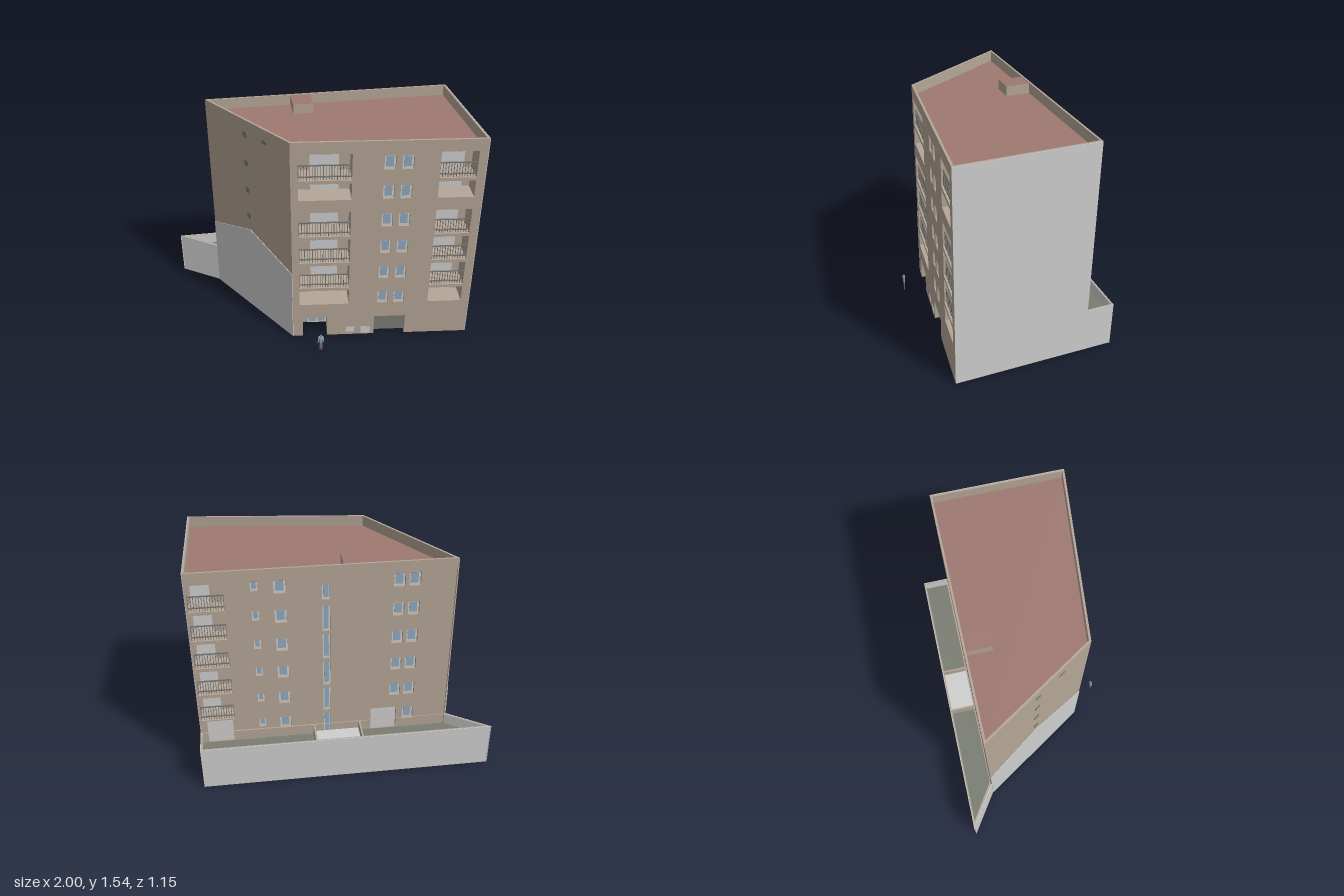
import * as THREE from 'three';
import { mergeGeometries } from 'three/addons/utils/BufferGeometryUtils.js';

const paint = (name, color) => {
  const m = new THREE.MeshStandardMaterial({ color });
  m.name = name;
  return m;
};

export function createModel() {
  const model = new THREE.Group();
  model.name = 'apartmentBuilding';
  const render = paint('tan render', 0xb5a697);
  const party = paint('light grey', 0xcfcfcf);
  const red = paint('roof red', 0x9e7870);
  const olive = paint('olive grey', 0x7a7d73);
  const glass = paint('glass blue', 0x8faac0);
  const metal = paint('railing grey', 0x777672);

  const TOP = 1.535, ROOF = 1.46, STEP = 0.211, ANNEX = 0.32;
  const levels = [0, 1, 2, 3, 4, 5];
  // plan corners as [x, z]
  const BL = [-0.72, -0.38], FL = [-0.235, 0.39], FR = [1, 0.53], BR = [1, -0.38];

  const add = (parent, name, geo, mat) => {
    const mesh = new THREE.Mesh(geo, mat);
    mesh.name = name;
    parent.add(mesh);
    return mesh;
  };
  const shapeOf = (pts) => new THREE.Shape(pts.map(([x, y]) => new THREE.Vector2(x, y)));
  const rect = ([u0, y0, u1, y1]) => [[u0, y0], [u1, y0], [u1, y1], [u0, y1]];
  const extrude = (shape, depth) => new THREE.ExtrudeGeometry(shape, { depth, bevelEnabled: false });
  const boxAt = (x0, x1, y0, y1, z0, z1) =>
    new THREE.BoxGeometry(x1 - x0, y1 - y0, z1 - z0).translate((x0 + x1) / 2, (y0 + y1) / 2, (z0 + z1) / 2);

  // horizontal slab from plan points
  const slab = (name, pts, y, h, mat, hole) => {
    const s = shapeOf(pts.map(([x, z]) => [x, -z]));
    if (hole) s.holes.push(new THREE.Path(hole.map(([x, z]) => new THREE.Vector2(x, -z))));
    return add(model, name, extrude(s, h).rotateX(-Math.PI / 2).translate(0, y, 0), mat);
  };

  // group with local x running from p to q, and local z facing outwards
  const frame = (name, p, q) => {
    const g = new THREE.Group();
    g.name = name;
    g.position.set(p[0], 0, p[1]);
    g.rotation.y = Math.atan2(p[1] - q[1], q[0] - p[0]);
    g.updateMatrix();
    model.add(g);
    return g;
  };

  // wall with openings, trimmed to the plan at its ends
  const wall = (g, name, outline, openings, z, depth) => {
    const s = shapeOf(outline);
    openings.forEach((o) => s.holes.push(new THREE.Path(rect(o).map(([x, y]) => new THREE.Vector2(x, y)))));
    const geo = extrude(s, depth).translate(0, 0, z - depth).applyMatrix4(g.matrix);
    const pos = geo.attributes.position;
    for (let i = 0; i < pos.count; i++) {
      const left = BL[0] + (pos.getZ(i) - BL[1]) * 0.63;
      pos.setX(i, Math.min(0.998, Math.max(left, pos.getX(i))));
    }
    geo.computeVertexNormals();
    add(model, name, geo, render);
  };
  const plate = (g, name, [u0, y0, u1, y1], z, mat, t = 0.005) =>
    add(g, name, boxAt(u0, u1, y0, y1, z, z + t), mat);

  const windowUnit = (g, [u0, y0, u1, y1], z = -0.025) => {
    const f = Math.min(0.012, (u1 - u0) * 0.18);
    plate(g, 'windowFrame', [u0, y0, u1, y1], z, party);
    plate(g, 'windowPane', [u0 + f, y0 + f, u1 - f, y1 - f], z + 0.003, glass);
  };

  const railing = (g, u0, u1, y) => {
    const parts = [0.02, 0.1].map((h) => boxAt(u0, u1, y + h, y + h + 0.007, -0.018, -0.01));
    const n = Math.round((u1 - u0) / 0.018);
    for (let i = 0; i <= n; i++) {
      const u = u0 + 0.002 + ((u1 - u0 - 0.004) * i) / n;
      parts.push(boxAt(u - 0.002, u + 0.002, y, y + 0.1, -0.016, -0.012));
    }
    add(g, 'balconyRailing', mergeGeometries(parts), metal);
  };

  // ---- front facade ----
  const front = frame('frontFacade', FL, FR);
  const fu = (x) => (x - FL[0]) / 0.9936;
  const FLEN = fu(1), DEEP = 0.15, GD = 0.05;
  const balconies = [], frontWindows = [];
  for (const k of levels) {
    const floor = 0.21 + k * STEP;
    const solid = k === 0 || k === 4;
    for (const [a, b] of [[-0.187, 0.153], [0.706, 0.941]]) {
      balconies.push([fu(a), floor + (solid ? 0.068 : 0), fu(b), floor + 0.187]);
      if (!solid) railing(front, fu(a), fu(b), floor);
    }
    for (const [a, b] of [[-0.107, 0.08], [0.712, 0.89]])
      plate(front, 'balconyDoor', [fu(a), floor, fu(b), floor + 0.167], -DEEP, party);
    for (const [a, b] of [[0.353, 0.425], [0.465, 0.538]])
      frontWindows.push([fu(a), floor + 0.07, fu(b), floor + 0.168]);
  }
  const e0 = fu(-0.166), e1 = fu(0.005), g0 = fu(0.337), g1 = fu(0.556), dh = 0.157;
  wall(front, 'frontWall', [[0, 0], [e0, 0], [e0, dh], [e1, dh], [e1, 0], [g0, 0], [g0, dh], [g1, dh], [g1, 0],
    [FLEN, 0], [FLEN, ROOF], [0, ROOF]], [...balconies, ...frontWindows], 0, DEEP);
  wall(front, 'balconyBackWall', rect([0.02, 0, FLEN, ROOF]), [], -DEEP, 0.005);
  frontWindows.forEach((w) => windowUnit(front, w));

  // entrance doors, garage door and service hatches
  plate(front, 'entranceDoorFrame', [e0 + 0.035, 0, e1, dh], -DEEP, party);
  for (const [a, b] of [[0.045, 0.095], [0.11, 0.163]])
    for (const [y0, y1] of [[0.012, 0.075], [0.085, 0.145]])
      plate(front, 'entranceGlass', [e0 + a, y0, e0 + b, y1], -DEEP + 0.003, glass);
  plate(front, 'garageDoor', [g0, 0, g1, dh], -GD, olive);
  plate(front, 'serviceHatch', [fu(0.138), 0.025, fu(0.197), 0.07], 0, party, 0.003);
  plate(front, 'serviceHatch', [fu(0.245), 0.01, fu(0.31), 0.064], 0, party, 0.003);

  // ---- back facade ----
  const back = frame('backFacade', BR, BL);
  const BD = 0.12, holes = [], backWindows = [];
  for (const k of levels) {
    const floor = 0.21 + k * STEP;
    if (k) {
      holes.push([0.015, floor, 0.24, floor + 0.187]);
      railing(back, 0.015, 0.24, floor);
      plate(back, 'backBalconyDoor', [0.03, floor, 0.15, floor + 0.165], -BD, party);
    }
    backWindows.push([0.405, floor + 0.125, 0.45, floor + 0.192], [0.548, floor + 0.098, 0.623, floor + 0.19],
      [1.405, floor + 0.095, 1.48, floor + 0.19]);
    if (k) backWindows.push([1.307, floor + 0.095, 1.38, floor + 0.19]);
    backWindows.push(k < 5 ? [0.85, floor + 0.015, 0.9, floor + 0.198] : [0.85, floor + 0.035, 0.9, floor + 0.14]);
  }
  const terraceDoors = [[0.05, 0.236, 0.225, 0.412], [1.18, 0.236, 1.36, 0.412]];
  wall(back, 'backWall', rect([0, 0, 1.72, ROOF]), [...holes, ...backWindows, ...terraceDoors], 0, BD);
  wall(back, 'backBalconyRearWall', rect([0, 0, 1.72, ROOF]), [], -BD, 0.005);
  backWindows.forEach((w) => windowUnit(back, w));
  terraceDoors.forEach((d) => plate(back, 'terraceDoor', d, -0.025, party));

  // ---- slanted left wall with a pale gable and small vents ----
  const side = frame('leftWall', BL, FL);
  const L = Math.hypot(FL[0] - BL[0], FL[1] - BL[1]);
  plate(side, 'slantedWall', [0, 0, L, ROOF], -0.01, render, 0.01);
  add(side, 'neighbourGable', extrude(shapeOf([[0, 0], [L, 0], [L, 0.545], [L / 2, 0.69], [0, 0.545]]), 0.004), party);
  [1.41, 1.2, 0.99, 0.785].forEach((y) => plate(side, 'vent', [0.43, y, 0.47, y + 0.042], 0, olive, 0.003));
  plate(side, 'vent', [0.635, 1.433, 0.685, 1.458], 0, olive, 0.003);

  // ---- right party wall, stepping down over the annex ----
  const right = frame('rightWall', FR, [1, -0.57]);
  add(right, 'partyWall', extrude(shapeOf([[0, 0], [1.1, 0], [1.1, ANNEX], [0.91, ANNEX], [0.91, TOP], [0, TOP]]), 0.004)
    .translate(0, 0, -0.004), party);

  // ---- roof ----
  slab('roofDeck', [[-0.71, -0.375], [-0.23, 0.38], [0.995, 0.52], [0.995, -0.375]], ROOF - 0.01, 0.012, red);
  slab('parapet', [BL, FL, [0.997, 0.5297], [0.997, -0.38]], ROOF, TOP - ROOF, render,
    [[-0.693, -0.366], [-0.226, 0.376], [0.983, 0.513], [0.983, -0.366]]);
  add(model, 'roofHatch', boxAt(-0.13, 0.01, ROOF, 1.53, -0.367, -0.2), [render, render, red, render, render, render]);

  // ---- rear annex with terraces ----
  const A = [-1, -0.57], B = [1, -0.57];
  slab('annexWalls', [[-0.994, -0.567], [0.997, -0.567], [0.997, -0.378], [-0.72, -0.386]], 0.005, ANNEX - 0.006, render,
    [[-0.95, -0.556], [0.985, -0.556], [0.985, -0.39], [-0.7, -0.39]]);
  slab('terraceFloor', [[-0.97, -0.562], [0.99, -0.562], [0.99, -0.381], [-0.71, -0.381]], 0.215, 0.02, olive);
  add(model, 'middleTerraceFloor', boxAt(-0.095, 0.215, 0.23, 0.255, -0.56, -0.381), party);
  for (const x of [-0.1, 0.217])
    add(model, 'terraceDivider', boxAt(x - 0.006, x + 0.006, 0.22, ANNEX - 0.003, -0.562, -0.381), render);
  plate(frame('annexBack', B, A), 'annexBackWall', [0, 0, 2, ANNEX], -0.004, party, 0.004);
  plate(frame('annexLeft', A, BL), 'annexLeftWall', [0, 0, Math.hypot(0.28, 0.19), ANNEX], -0.004, party, 0.004);

  // ---- underside, notched at the entrance and garage ----
  const at = (u, d) => [FL[0] + u * 0.9936 + d * 0.1126, FL[1] + u * 0.1126 - d * 0.9936];
  slab('underside', [A, BL, FL, at(e0, 0), at(e0, DEEP), at(e1, DEEP), at(e1, 0),
    at(g0, 0), at(g0, GD), at(g1, GD), at(g1, 0), FR, B], 0, 0.004, party);

  // ---- standing figure by the entrance ----
  const figure = new THREE.Group();
  figure.name = 'standingFigure';
  figure.position.set(-0.065, 0, 0.564);
  model.add(figure);
  const limb = (name, r0, r1, h, x, y, tilt, mat) => {
    const m = add(figure, name, new THREE.CylinderGeometry(r0, r1, h, 8), mat);
    m.position.set(x, y, 0);
    m.rotation.z = tilt;
    m.scale.z = 0.6;
  };
  add(figure, 'head', new THREE.SphereGeometry(0.008, 10, 8), metal).position.set(0, 0.126, 0);
  limb('torso', 0.017, 0.011, 0.05, 0, 0.092, 0, glass);
  for (const s of [-1, 1]) {
    limb('arm', 0.004, 0.003, 0.05, s * 0.018, 0.09, s * 0.12, glass);
    limb('leg', 0.007, 0.004, 0.07, s * 0.005, 0.035, s * 0.04, metal);
  }
  return model;
}
